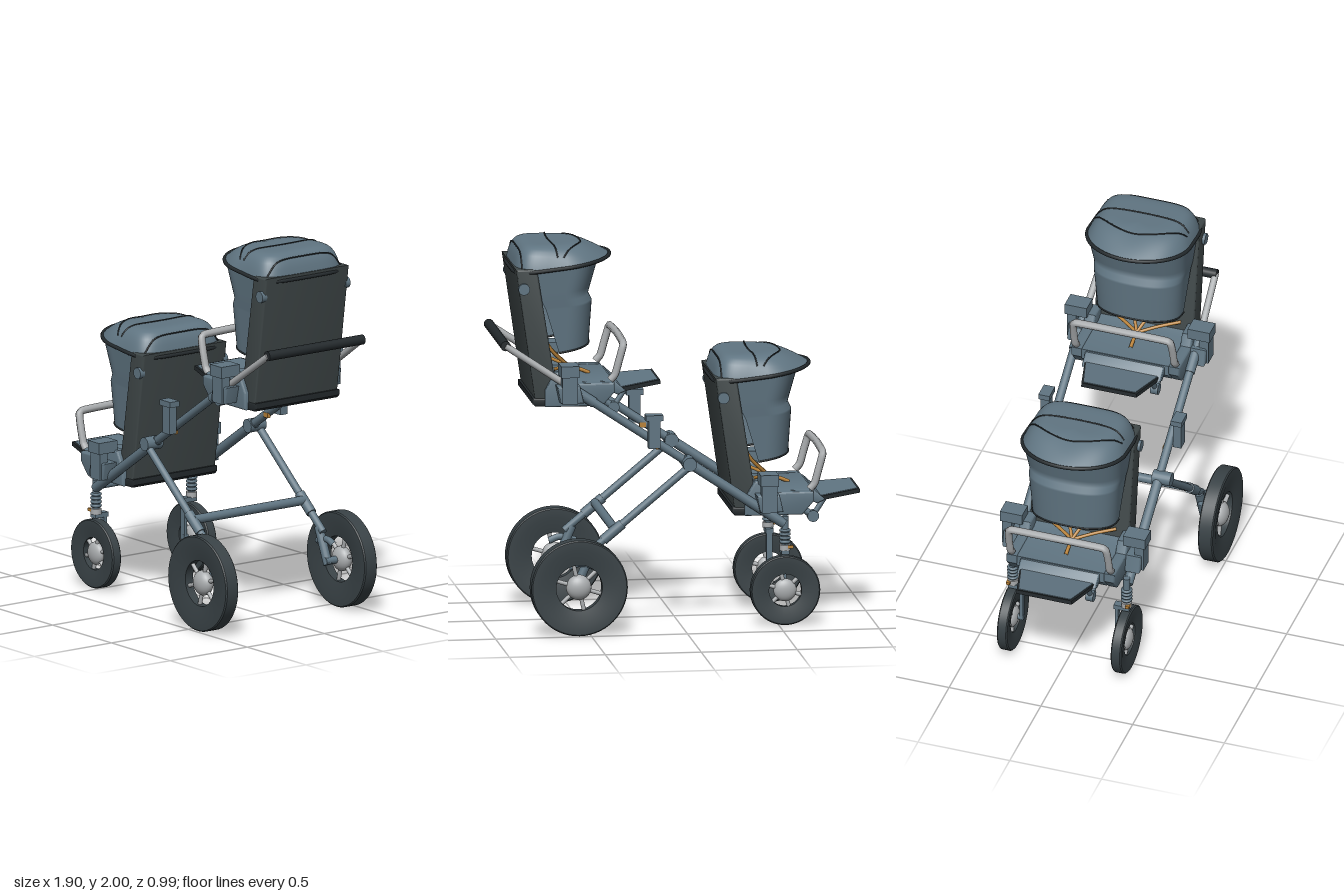
import * as THREE from 'three';
import { toCreasedNormals } from 'three/addons/utils/BufferGeometryUtils.js';
import { ParametricGeometry } from 'three/addons/geometries/ParametricGeometry.js';

const material = (name, color, side = THREE.FrontSide) => {
  const m = new THREE.MeshStandardMaterial({ color, side });
  m.name = name;
  return m;
};
const slate = material('slate', 0x607582);
const fabric = material('slate fabric', 0x607582, THREE.DoubleSide);
const charcoal = material('charcoal', 0x3f4748);
const rubber = material('rubber', 0x394246);
const trim = material('trim', 0x23292c);
const silver = material('silver', 0xaaadaf);
const orange = material('orange', 0xb98238);

const V = (x, y, z) => new THREE.Vector3(x, y, z);

function add(parent, name, geometry, mat, x = 0, y = 0, z = 0) {
  const mesh = new THREE.Mesh(geometry, mat);
  mesh.name = name;
  mesh.position.set(x, y, z);
  parent.add(mesh);
  return mesh;
}

// straight round bar between two points
function bar(parent, name, a, b, r, mat, r2 = r) {
  const mesh = add(parent, name, new THREE.CylinderGeometry(r2, r, a.distanceTo(b), 16), mat);
  mesh.position.copy(a).lerp(b, 0.5);
  mesh.quaternion.setFromUnitVectors(V(0, 1, 0), b.clone().sub(a).normalize());
  return mesh;
}

function tube(parent, name, pts, r, mat, closed = false, tension = 0.5) {
  const curve = new THREE.CatmullRomCurve3(pts, closed, 'catmullrom', tension);
  return add(parent, name, new THREE.TubeGeometry(curve, pts.length * 6, r, 8, closed), mat);
}

// side profile in x,y with a width along z
function slab(parent, name, pts, width, mat, z = 0, bevel = 0.01) {
  const shape = new THREE.Shape(pts.map(([x, y]) => new THREE.Vector2(x, y)));
  const g = new THREE.ExtrudeGeometry(shape, {
    depth: width - 2 * bevel, bevelThickness: bevel, bevelSize: bevel, bevelOffset: -bevel, bevelSegments: 3,
  });
  g.translate(0, 0, bevel - width / 2);
  return add(parent, name, toCreasedNormals(g, 0.6), mat, 0, 0, z);
}

// canopy dome: rounded front, squared back
const CX = -0.45, RZ = 0.275;
const exponent = (dx) => (dx < 0 ? 2 : 5);
const reach = (dx) => (dx < 0 ? 0.25 : 0.27);
function canopyY(x, z) {
  const dx = x - CX, n = exponent(dx), ax = Math.abs(dx) / reach(dx);
  const t = Math.pow(ax ** n + Math.abs(z / RZ) ** n, 1 / n);
  const c = t > 0 ? Math.sign(dx) * Math.min(1, ax / t) : 0;
  const edge = 1.295 - 0.03 * c;
  return edge + (1.4 - edge) * (1 - Math.pow(Math.min(t, 1), 6.5 + 4.5 * c));
}
function canopyPoint(angle, t) {
  const c = Math.cos(angle), s = Math.sin(angle), n = exponent(c);
  const x = CX + t * reach(c) * Math.sign(c) * Math.abs(c) ** (2 / n);
  const z = t * RZ * Math.sign(s) * Math.abs(s) ** (2 / n);
  return V(x, canopyY(x, z), z);
}

// curtain sections from bottom to top: y front, y back, x front, x back, half width
const SECTIONS = [
  [0.87, 0.84, -0.59, -0.41, 0.225], [1.09, 1.07, -0.605, -0.34, 0.24],
  [1.13, 1.11, -0.585, -0.32, 0.245], [1.31, 1.28, -0.635, -0.25, 0.262],
];
function curtainPoint(u, v) {
  const f = Math.min(v * 3, 2.9999), i = Math.floor(f);
  const [yf, yb, xf, xb, hz] = SECTIONS[i].map((a, k) => a + (SECTIONS[i + 1][k] - a) * (f - i));
  const mid = xf + 0.15, w = u * 2 - 1, q = Math.abs(w);
  let x, z;
  if (q > 0.7) {
    x = mid + (xb - mid) * (q - 0.7) / 0.3;
    z = Math.sign(w) * hz;
  } else {
    const a = (q / 0.7) * Math.PI / 2;
    x = mid - 0.15 * Math.max(0, Math.cos(a)) ** 0.85;
    z = Math.sign(w) * hz * Math.sin(a) ** 0.85;
  }
  return V(x, yf + (yb - yf) * (x - xf) / (xb - xf), z);
}

function makeSeat() {
  const seat = new THREE.Group();
  // shell
  slab(seat, 'backrest', [[-0.4, 0.6], [-0.28, 0.6], [-0.18, 1.29], [-0.29, 1.29]], 0.54, charcoal);
  slab(seat, 'seatTray', [[-0.55, 0.565], [-0.28, 0.57], [-0.265, 0.585], [-0.265, 0.615], [-0.55, 0.61]], 0.55, trim);
  slab(seat, 'seatPan', [[-0.69, 0.69], [-0.69, 0.63], [-0.63, 0.57], [-0.34, 0.57], [-0.34, 0.72], [-0.42, 0.69]], 0.48, slate);
  // hood
  add(seat, 'canopy', new ParametricGeometry((u, v, p) =>
    p.copy(canopyPoint(u * Math.PI * 2, 0.001 + 0.999 * v)), 64, 20), fabric);
  const rim = [];
  for (let i = 0; i < 48; i++) rim.push(canopyPoint((i / 48) * Math.PI * 2, 1));
  tube(seat, 'canopyRim', rim, 0.01, trim, true);
  for (const [x0, bow] of [[-0.38, 0.02], [-0.55, -0.12], [-0.215, 0]]) {
    const seam = [];
    for (let i = 0; i <= 16; i++) {
      const z = (i / 8 - 1) * 0.25, x = x0 - bow * (z / 0.25) ** 2;
      seam.push(V(x, canopyY(x, z) + 0.001, z));
    }
    tube(seat, 'canopySeam', seam, 0.004, trim);
  }
  add(seat, 'curtain', new ParametricGeometry((u, v, p) => p.copy(curtainPoint(u, v)), 48, 12), fabric);
  const hem = [];
  for (let i = 0; i <= 24; i++) hem.push(curtainPoint(i / 24, 0));
  tube(seat, 'curtainHem', hem, 0.005, trim);
  // footrest
  const foot = new THREE.Group();
  foot.name = 'footrest';
  const board = (inset) => new THREE.Shape([[-0.22, -0.15], [0, -0.205], [0, 0.205], [-0.22, 0.15]]
    .map(([x, z]) => new THREE.Vector2(x + (x ? inset : -inset), z - Math.sign(z) * inset)));
  for (const [name, inset, depth, y, mat] of [['footBoard', 0, 0.022, -0.011, trim], ['footPad', 0.01, 0.005, 0.009, slate]]) {
    add(foot, name, new THREE.ExtrudeGeometry(board(inset), { depth, bevelEnabled: false })
      .rotateX(-Math.PI / 2), mat, 0, y, 0);
  }
  foot.position.set(-0.73, 0.635, 0);
  foot.rotation.z = -0.12;
  seat.add(foot);
  slab(seat, 'seatLip', [[-0.76, 0.63], [-0.72, 0.61], [-0.62, 0.655], [-0.62, 0.685], [-0.7, 0.685]], 0.43, slate);
  // bumper bar
  const bumper = [[-0.67, 0.7, 0.27], [-0.695, 0.73, 0.27], [-0.715, 0.8, 0.27], [-0.735, 0.87, 0.265], [-0.74, 0.89, 0.24]];
  tube(seat, 'bumperBar', [
    ...bumper.map(([x, y, z]) => V(x, y, z)), V(-0.745, 0.895, 0),
    ...bumper.slice().reverse().map(([x, y, z]) => V(x, y, -z)),
  ], 0.02, silver, false, 0.3);

  for (const s of [1, -1]) {
    // side plates and the clamp onto the frame
    slab(seat, 'sidePlate', [[-0.69, 0.69], [-0.69, 0.64], [-0.63, 0.57], [-0.33, 0.57], [-0.33, 0.66],
      [-0.38, 0.75], [-0.47, 0.75], [-0.5, 0.69]], 0.06, slate, s * 0.265);
    add(seat, 'clampTop', new THREE.BoxGeometry(0.095, 0.06, 0.12), slate, -0.445, 0.77, s * 0.335);
    add(seat, 'clampBody', new THREE.BoxGeometry(0.08, 0.2, 0.05), slate, -0.445, 0.7, s * 0.36);
    slab(seat, 'clampFoot', [[-0.52, 0.6], [-0.4, 0.6], [-0.38, 0.69], [-0.5, 0.69]], 0.09, slate, s * 0.33);
    add(seat, 'clampPin', new THREE.BoxGeometry(0.03, 0.025, 0.03), orange, -0.42, 0.62, s * 0.31);
    add(seat, 'canopyHinge', new THREE.CylinderGeometry(0.03, 0.03, 0.03, 20).rotateX(Math.PI / 2),
      slate, -0.22, 1.19, s * 0.27);
    bar(seat, 'footrestArm', V(-0.765, 0.64, s * 0.17), V(-0.7, 0.54, s * 0.17), 0.014, slate);
    bar(seat, 'footrestBrace', V(-0.7, 0.54, s * 0.17), V(-0.62, 0.6, s * 0.17), 0.018, slate);
    add(seat, 'footrestPivot', new THREE.CylinderGeometry(0.03, 0.03, 0.04, 20).rotateX(Math.PI / 2),
      slate, -0.7, 0.54, s * 0.17);
    // harness
    tube(seat, 'shoulderStrap', [V(-0.32, 0.98, s * 0.08), V(-0.39, 0.83, s * 0.06), V(-0.5, 0.72, 0)], 0.009, orange);
    tube(seat, 'lapStrap', [V(-0.38, 0.75, s * 0.2), V(-0.44, 0.74, s * 0.1), V(-0.5, 0.72, 0)], 0.009, orange);
  }
  tube(seat, 'crotchStrap', [V(-0.5, 0.72, 0), V(-0.55, 0.71, 0), V(-0.6, 0.69, 0)], 0.01, orange);
  return seat;
}

function makeWheel(name, radius, hole, width, hubRadius) {
  const wheel = new THREE.Group();
  wheel.name = name;
  const h = width / 2;
  const profile = [[hole, -h * 0.6], [radius * 0.8, -h], [radius - 0.006, -h], [radius, -h + 0.006], [radius, h - 0.006],
    [radius - 0.006, h], [radius * 0.8, h], [hole, h * 0.6], [hole, -h * 0.6]].map(([x, y]) => new THREE.Vector2(x, y));
  add(wheel, 'tire', toCreasedNormals(new THREE.LatheGeometry(profile, 56).rotateX(Math.PI / 2), 0.6), rubber);
  const hub = add(wheel, 'hub', new THREE.SphereGeometry(hubRadius, 24, 16), silver);
  hub.scale.z = (h + 0.004) / hubRadius;
  for (let i = 0; i < 6; i++) {
    const a = (i / 6) * Math.PI * 2 + 0.3;
    bar(wheel, 'spoke', V(0, 0, 0), V(Math.cos(a) * hole * 1.05, Math.sin(a) * hole * 1.05, 0), 0.011, silver);
  }
  return wheel;
}

export function createModel() {
  const model = new THREE.Group();
  model.name = 'tandemStroller';
  // two identical seats on the sloping frame
  for (const [name, x, y] of [['frontSeat', 0, 0], ['rearSeat', 1.04, 0.6]]) {
    const seat = makeSeat();
    seat.name = name;
    seat.position.set(x, y, 0);
    model.add(seat);
  }

  for (const s of [1, -1]) {
    const z = s * 0.315;
    // main rails and handle
    bar(model, 'lowerRail', V(-0.53, 0.53, z), V(0, 0.885, z), 0.026, slate);
    bar(model, 'upperRail', V(0, 0.885, z), V(0.6, 1.286, z), 0.022, slate);
    bar(model, 'railSleeve', V(0.46, 1.192, z), V(0.62, 1.299, z), 0.027, slate);
    bar(model, 'handleTube', V(0.6, 1.286, z), V(0.92, 1.5, s * 0.3), 0.018, silver);
    add(model, 'railJoint', new THREE.CylinderGeometry(0.036, 0.036, 0.1, 20).rotateX(Math.PI / 2), slate, -0.03, 0.865, s * 0.335);
    add(model, 'railPin', new THREE.BoxGeometry(0.035, 0.025, 0.02), orange, 0.12, 0.95, s * 0.3);
    // spare seat mount
    add(model, 'mountPost', new THREE.BoxGeometry(0.06, 0.17, 0.045), slate, 0.155, 1.04, s * 0.36);
    add(model, 'mountCap', new THREE.BoxGeometry(0.09, 0.03, 0.06), slate, 0.155, 1.115, s * 0.36);
    // rear legs and suspension
    const lz = s * 0.36;
    bar(model, 'rearLeg', V(-0.04, 0.86, lz), V(0.52, 0.395, lz), 0.02, slate);
    bar(model, 'rearLegSleeve', V(0.32, 0.561, lz), V(0.42, 0.478, lz), 0.027, slate);
    bar(model, 'rearStrut', V(0.48, 0.42, lz), V(0.56, 0.23, lz), 0.024, slate);
    tube(model, 'rearShock', [V(0.46, 0.34, s * 0.37), V(0.54, 0.36, s * 0.37), V(0.6, 0.34, s * 0.37)], 0.018, slate);
    bar(model, 'rearAxle', V(0.56, 0.25, s * 0.34), V(0.56, 0.25, s * 0.45), 0.02, slate);
    // front forks with springs
    bar(model, 'forkPost', V(-0.535, 0.37, s * 0.31), V(-0.535, 0.57, s * 0.31), 0.018, slate);
    for (let i = 0; i < 4; i++) {
      add(model, 'springCoil', new THREE.TorusGeometry(0.022, 0.008, 8, 20).rotateX(Math.PI / 2),
        slate, -0.535, 0.435 + i * 0.02, s * 0.31);
    }
    add(model, 'forkCollar', new THREE.CylinderGeometry(0.028, 0.028, 0.03, 20), silver, -0.535, 0.405, s * 0.31);
    add(model, 'forkLock', new THREE.BoxGeometry(0.03, 0.015, 0.02), orange, -0.56, 0.41, s * 0.325);
    add(model, 'forkBridge', new THREE.BoxGeometry(0.04, 0.025, 0.085), slate, -0.535, 0.383, s * 0.287);
    add(model, 'forkLeg', new THREE.BoxGeometry(0.03, 0.21, 0.018), slate, -0.535, 0.28, s * 0.26);
    bar(model, 'frontAxle', V(-0.535, 0.185, s * 0.25), V(-0.535, 0.185, s * 0.32), 0.016, slate);
    // wheels
    const front = makeWheel('frontWheel', 0.181, 0.085, 0.056, 0.06);
    front.position.set(-0.535, 0.181, s * 0.31);
    const rear = makeWheel('rearWheel', 0.251, 0.12, 0.08, 0.066);
    rear.position.set(0.56, 0.251, s * 0.45);
    model.add(front, rear);
  }
  bar(model, 'handleGrip', V(0.92, 1.5, -0.31), V(0.92, 1.5, 0.31), 0.026, trim);
  bar(model, 'rearCrossBar', V(0.36, 0.535, -0.36), V(0.36, 0.535, 0.36), 0.024, slate);
  bar(model, 'frontCrossBar', V(-0.5, 0.545, -0.315), V(-0.5, 0.545, 0.315), 0.016, slate);
  return model;
}
